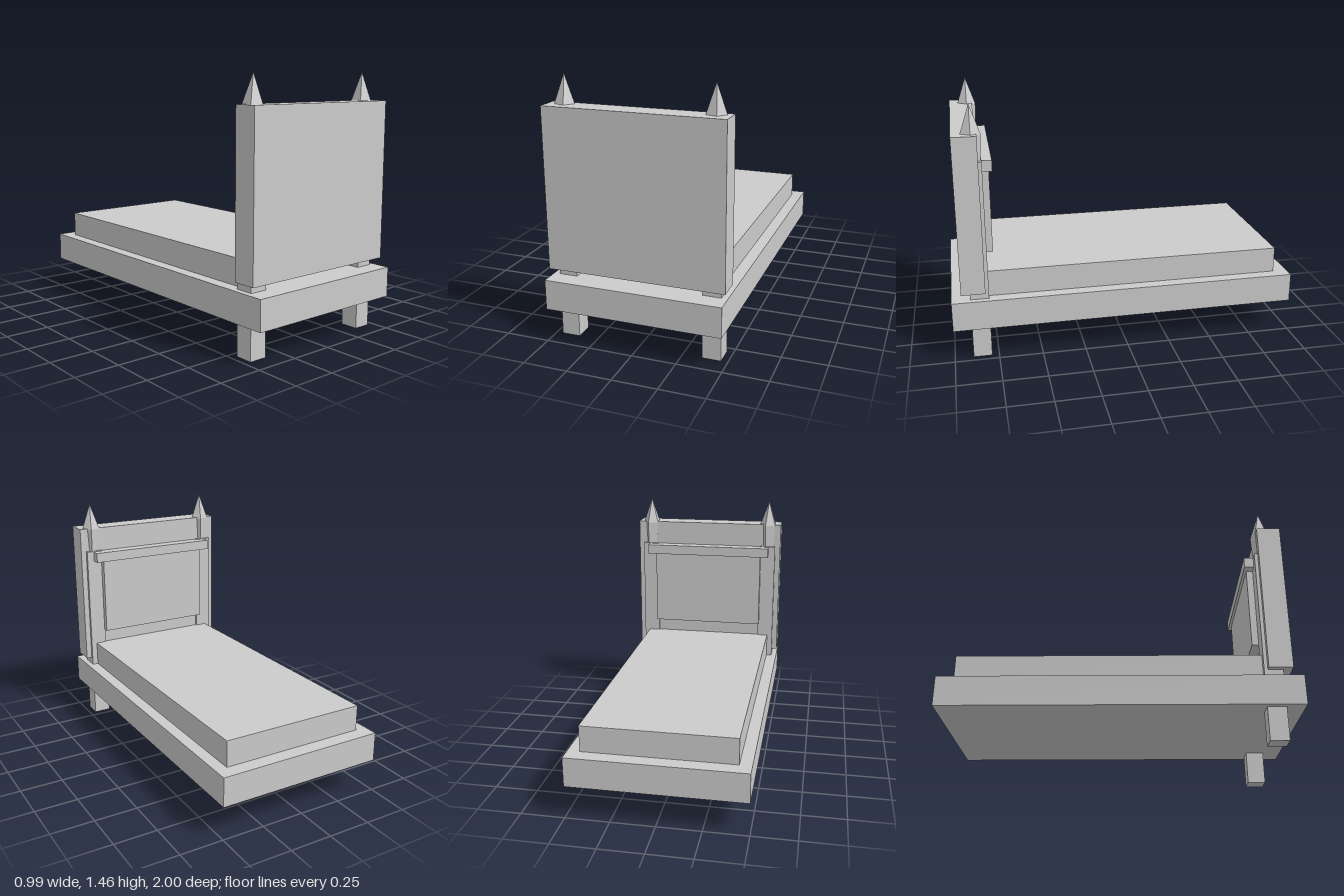
import * as THREE from 'three';

export function createModel() {
  const group = new THREE.Group();
  const stone = new THREE.MeshStandardMaterial({ color: 0xcccccc });
  stone.name = 'pale grey';

  const add = (name, geometry) => {
    const mesh = new THREE.Mesh(geometry, stone);
    mesh.name = name;
    group.add(mesh);
    return mesh;
  };

  // Box given by its limits on each axis
  const box = (name, [x0, x1], [y0, y1], [z0, z1]) =>
    add(name, new THREE.BoxGeometry(x1 - x0, y1 - y0, z1 - z0))
      .position.set((x0 + x1) / 2, (y0 + y1) / 2, (z0 + z1) / 2);

  // Five-sided faceted section with a corner towards +x
  const facet = (name, rTop, rBottom, y0, y1, x, z) => {
    const g = new THREE.CylinderGeometry(rTop, rBottom, y1 - y0, 5, 1, false, Math.PI / 2).toNonIndexed();
    g.computeVertexNormals();
    add(name, g).position.set(x, (y0 + y1) / 2, z);
  };

  // Bed base and mattress
  box('bedFrame', [-0.497, 0.497], [0.19, 0.36], [-1, 1]);
  box('mattress', [-0.428, 0.428], [0.36, 0.51], [-0.915, 0.8]);

  // Headboard with raised panel and rail
  box('headboard', [-0.497, 0.497], [0.405, 1.3], [0.81, 0.945]);
  box('headboardPanel', [-0.366, 0.366], [0.6, 1.085], [0.752, 0.81]);
  box('headboardRail', [-0.418, 0.418], [1.085, 1.147], [0.735, 0.81]);

  // Posts, whose lower ends are the legs, with pointed finials
  for (const side of [-1, 1]) {
    const x = side * 0.411;
    box('post', [x - 0.052, x + 0.052], [0, 1.15], [0.79, 0.895]);
    facet('finialNeck', 0.058, 0.05, 1.15, 1.295, x, 0.841);
    facet('finialPoint', 0, 0.058, 1.295, 1.457, x, 0.841);
  }
  return group;
}
